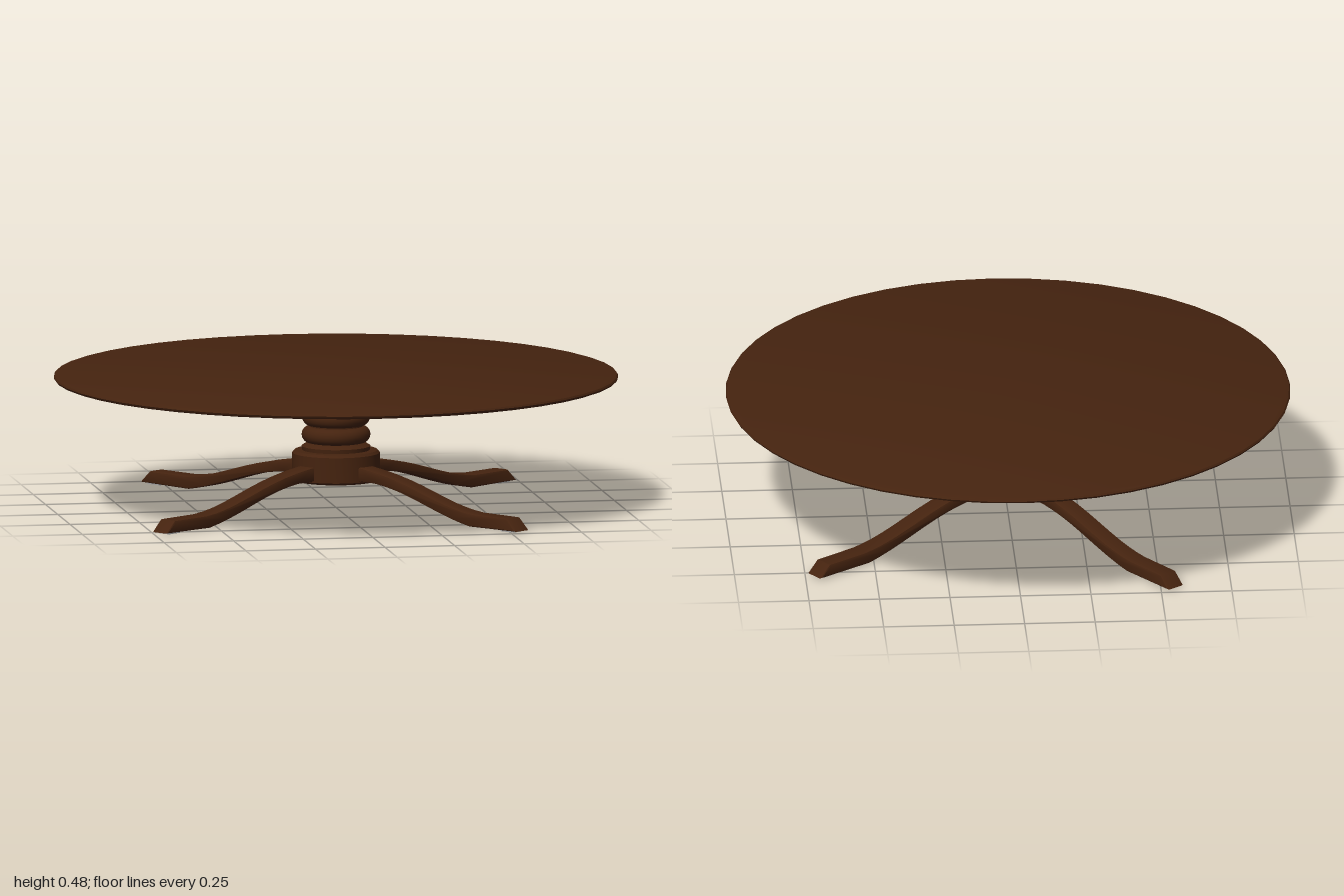
import * as THREE from 'three';
import { toCreasedNormals } from 'three/addons/utils/BufferGeometryUtils.js';

const wood = new THREE.MeshStandardMaterial({ color: 0x45230f });
wood.name = 'dark wood';
const metal = new THREE.MeshStandardMaterial({ color: 0xa0a0a0 });
metal.name = 'grey metal';

function mesh(name, geometry, material) {
  const m = new THREE.Mesh(geometry, material);
  m.name = name;
  return m;
}

// Turned part from [radius, height] pairs, listed bottom to top
function turned(name, profile, sides) {
  const points = profile.map(([r, y]) => new THREE.Vector2(r, y));
  return mesh(name, toCreasedNormals(new THREE.LatheGeometry(points, sides), 0.6), wood);
}

// Rounded bead bulging out between two heights
function bead(inner, outer, y0, y1) {
  const out = [];
  for (let i = 0; i <= 8; i++) {
    const a = -Math.PI / 2 + (Math.PI * i) / 8;
    out.push([inner + (outer - inner) * Math.cos(a), (y0 + y1) / 2 + ((y1 - y0) / 2) * Math.sin(a)]);
  }
  return out;
}

// Side outline of a leg: x runs outward from the pedestal
function legGeometry() {
  const bevel = 0.006;
  const width = 0.07;
  const s = new THREE.Shape();
  s.moveTo(0.09, 0.117);
  s.lineTo(0.22, 0.117);
  s.bezierCurveTo(0.4, 0.1, 0.5, 0.04, 0.68, 0.009);
  s.lineTo(0.9, 0.009);
  s.lineTo(0.862, 0.042);
  s.lineTo(0.7, 0.042);
  s.bezierCurveTo(0.5, 0.055, 0.4, 0.14, 0.09, 0.16);
  s.closePath();
  const g = new THREE.ExtrudeGeometry(s, {
    depth: width - 2 * bevel, bevelEnabled: true, bevelThickness: bevel,
    bevelSize: bevel, bevelSegments: 2, curveSegments: 12,
  });
  g.translate(0, 0, -width / 2 + bevel);
  return toCreasedNormals(g, 0.5);
}

export function createModel() {
  const table = new THREE.Group();
  table.name = 'round pedestal table';

  // Thin round top with a softened rim
  table.add(turned('tableTop', [
    [0, 0.458], [0.985, 0.458], [0.996, 0.462], [1, 0.469],
    [0.996, 0.475], [0.98, 0.48], [0, 0.48],
  ], 48));

  // Mounting plate under the top
  table.add(turned('mountingPlate', [
    [0, 0.446], [0.3, 0.446], [0.308, 0.45], [0.308, 0.459],
  ], 48));

  // Turned column: hub, two beads, collar and upper drum
  table.add(turned('column', [
    [0, 0.1], [0.148, 0.1], [0.155, 0.107], [0.155, 0.198], [0.147, 0.207],
    [0.12, 0.208], [0.122, 0.222], [0.108, 0.23],
    ...bead(0.095, 0.122, 0.234, 0.292),
    ...bead(0.095, 0.12, 0.296, 0.352),
    [0.118, 0.356], [0.122, 0.366], [0.14, 0.372], [0.145, 0.38],
    [0.164, 0.386], [0.164, 0.392], [0.153, 0.397], [0.153, 0.446],
  ], 40));

  // Four splayed legs, each with a foot pad and a bolt above it
  const leg = legGeometry();
  const pad = new THREE.BoxGeometry(0.06, 0.006, 0.045);
  const bolt = new THREE.CylinderGeometry(0.026, 0.022, 0.008, 12);
  for (let i = 0; i < 4; i++) {
    const arm = new THREE.Group();
    arm.name = 'legAssembly' + (i + 1);
    arm.rotation.y = THREE.MathUtils.degToRad(37 - 90 + 90 * i);
    arm.position.set(-0.006, 0, 0.004);
    arm.add(mesh('leg', leg, wood));
    const p = mesh('footPad', pad, metal);
    p.position.set(0.855, 0.003, 0);
    const b = mesh('bolt', bolt, metal);
    b.position.set(0.24, 0.443, 0);
    arm.add(p, b);
    table.add(arm);
  }
  return table;
}
